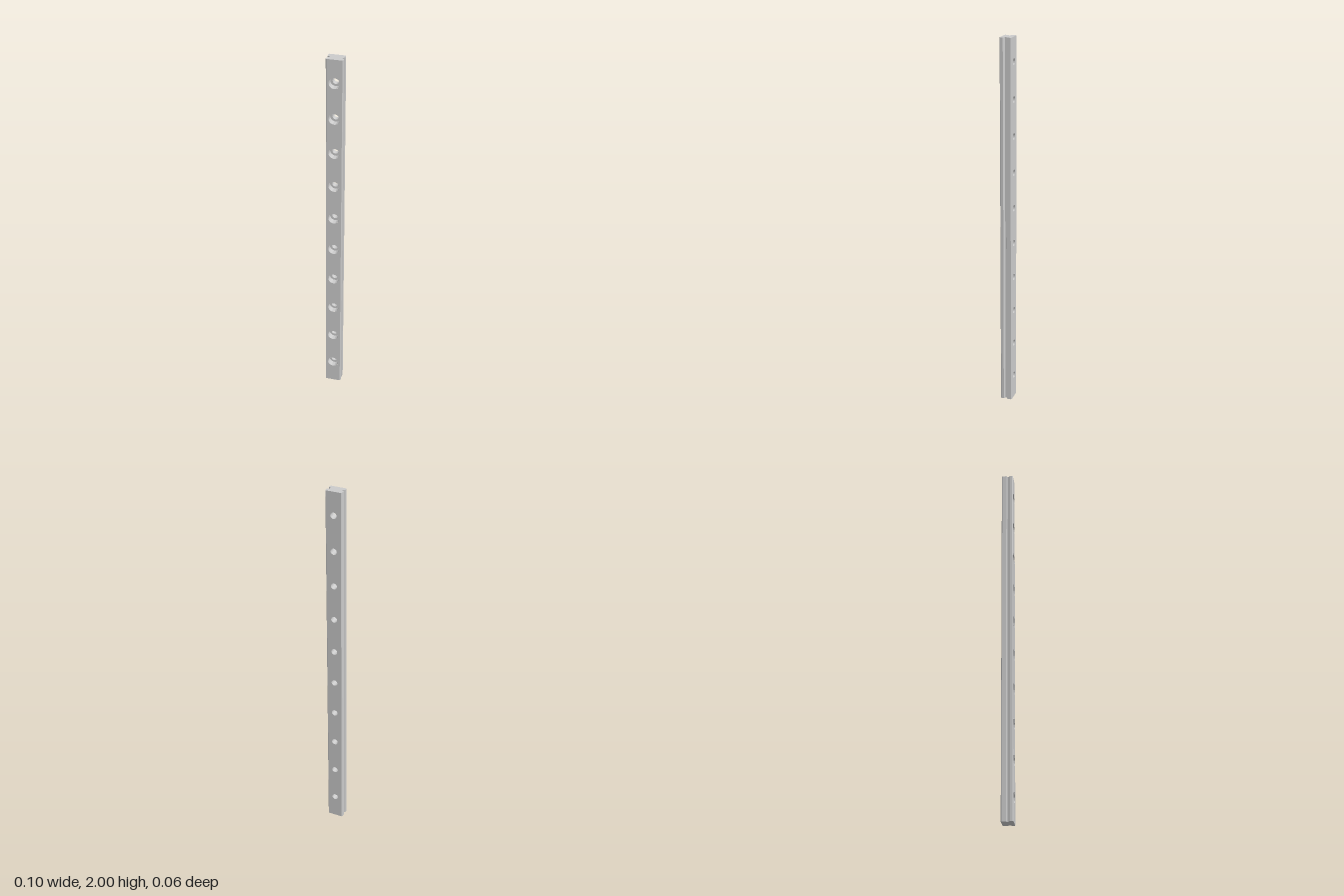
import * as THREE from 'three';
import { toCreasedNormals } from 'three/addons/utils/BufferGeometryUtils.js';

const LENGTH = 2, HALF = LENGTH / 2;
const HALF_W = 0.0436, HALF_D = 0.0312, CHAMFER = 0.0035;
const HOLES = 10, PITCH = 0.1937;
const BORE_R = 0.029, BOLT_R = 0.017, STEP_Z = -0.003;
const SEGMENTS = 32;

export function createModel() {
  const material = new THREE.MeshStandardMaterial({ color: 0xcccccc });
  const model = new THREE.Group();
  model.name = 'guideRail';
  const rail = new THREE.Group();
  rail.name = 'rail';
  rail.position.y = HALF;
  rail.rotation.z = -0.0048; // the rail leans very slightly
  model.add(rail);

  const add = (name, geometry, parent = rail) => {
    const mesh = new THREE.Mesh(geometry, material);
    mesh.name = name;
    parent.add(mesh);
    return mesh;
  };

  // Cross-section as [x, z]: one grooved side, front to back, then its mirror
  const flatX = HALF_W - CHAMFER, flatZ = HALF_D - CHAMFER;
  const side = [
    [flatX, HALF_D], [HALF_W, flatZ],
    [HALF_W, 0.0135], [0.032, 0.0065], [0.032, -0.0015], [HALF_W, -0.0055],
    [HALF_W, -flatZ], [flatX, -HALF_D],
  ];
  const mirrored = side.map(([x, z]) => [-x, z]).reverse();

  // Grooved side walls with crisp edges
  const sideWall = (points) => {
    const v = [];
    for (let i = 0; i < points.length - 1; i++) {
      const [ax, az] = points[i], [bx, bz] = points[i + 1];
      v.push(ax, -HALF, az, bx, -HALF, bz, bx, HALF, bz);
      v.push(ax, -HALF, az, bx, HALF, bz, ax, HALF, az);
    }
    const g = new THREE.BufferGeometry();
    g.setAttribute('position', new THREE.Float32BufferAttribute(v, 3));
    g.computeVertexNormals();
    return g;
  };
  add('leftGroovedSide', sideWall(side));
  add('rightGroovedSide', sideWall(mirrored));

  // End caps
  const section = (sign) => new THREE.Shape(
    [...side, ...mirrored].map(([x, z]) => new THREE.Vector2(x, sign * z)));
  add('topEnd', new THREE.ShapeGeometry(section(-1)).rotateX(-Math.PI / 2).translate(0, HALF, 0));
  add('bottomEnd', new THREE.ShapeGeometry(section(1)).rotateX(Math.PI / 2).translate(0, -HALF, 0));

  // Front and back faces, pierced by the row of screw holes
  const holeY = Array.from({ length: HOLES }, (_, i) => (i - (HOLES - 1) / 2) * PITCH + 0.003);
  const piercedFace = (radius) => {
    const shape = new THREE.Shape([
      new THREE.Vector2(-flatX, -HALF), new THREE.Vector2(flatX, -HALF),
      new THREE.Vector2(flatX, HALF), new THREE.Vector2(-flatX, HALF),
    ]);
    for (const y of holeY) {
      shape.holes.push(new THREE.Path().absarc(0, y, radius, 0, Math.PI * 2, true));
    }
    return new THREE.ShapeGeometry(shape, SEGMENTS);
  };
  add('frontFace', piercedFace(BORE_R).translate(0, 0, HALF_D));
  // Turned about the x axis afterwards, so mirror the hole heights by spinning about y instead
  add('backFace', piercedFace(BOLT_R).rotateY(Math.PI).translate(0, 0, -HALF_D));

  // Counterbored screw holes: wide bore, step, narrow through hole
  const bore = toCreasedNormals(new THREE.LatheGeometry([
    new THREE.Vector2(BORE_R, HALF_D), new THREE.Vector2(BORE_R, STEP_Z),
    new THREE.Vector2(BOLT_R, STEP_Z), new THREE.Vector2(BOLT_R, -HALF_D),
  ], SEGMENTS).rotateX(Math.PI / 2), Math.PI / 6);
  const boreMaterial = material.clone();
  boreMaterial.side = THREE.DoubleSide;
  for (const y of holeY) {
    const hole = add('screwHole', bore);
    hole.material = boreMaterial;
    hole.position.y = y;
  }
  return model;
}
